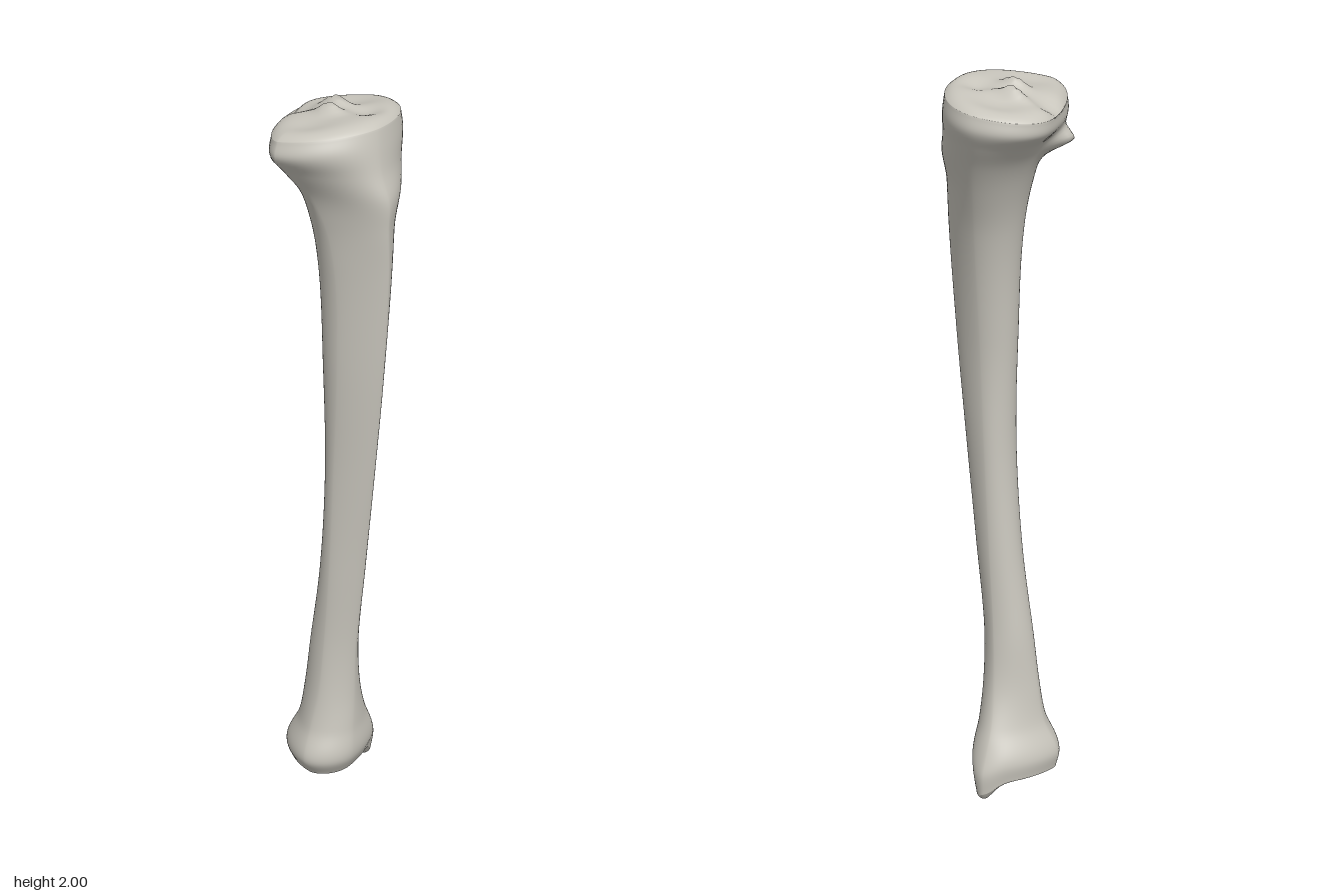
import * as THREE from 'three';
import { mergeVertices } from 'three/addons/utils/BufferGeometryUtils.js';

const SIDES = 72;

// Cross-sections: y, then x,z of the inner (+x), front, outer (-x) and back extremes
const SECTIONS = [
  [0.06, 0.160, -0.03, -0.02, 0.040, -0.105, -0.03, -0.02, -0.160],
  [0.11, 0.162, -0.03, -0.03, 0.063, -0.133, -0.03, -0.02, -0.168],
  [0.20, 0.115, -0.03, -0.02, 0.058, -0.105, -0.03, -0.01, -0.130],
  [0.30, 0.080, -0.02, -0.01, 0.053, -0.085, -0.02, -0.01, -0.110],
  [0.45, 0.060, -0.01, -0.01, 0.056, -0.073, -0.01, -0.01, -0.088],
  [0.70, 0.048, 0.01, -0.01, 0.083, -0.073, 0.01, -0.01, -0.050],
  [1.00, 0.040, 0.03, -0.02, 0.120, -0.080, 0.03, -0.02, -0.025],
  [1.30, 0.043, 0.04, -0.03, 0.154, -0.092, 0.05, -0.02, -0.030],
  [1.60, 0.085, 0.03, -0.04, 0.178, -0.102, 0.05, 0.00, -0.053],
  [1.72, 0.125, 0.01, -0.05, 0.183, -0.116, 0.03, 0.02, -0.080],
  [1.80, 0.160, -0.01, -0.05, 0.185, -0.140, 0.00, 0.04, -0.110],
  [1.86, 0.193, -0.03, -0.05, 0.163, -0.180, -0.03, 0.07, -0.145],
  [1.91, 0.217, -0.04, -0.04, 0.150, -0.217, -0.04, 0.09, -0.184],
  [1.95, 0.212, -0.04, -0.03, 0.140, -0.206, -0.04, 0.09, -0.188],
];

const smooth = (v, a, b) => THREE.MathUtils.smoothstep(v, a, b);
const bump = (x, z, cx, cz, sx, sz) => Math.exp(-(((x - cx) / sx) ** 2) - ((z - cz) / sz) ** 2);

const interpolant = new THREE.CubicInterpolant(
  SECTIONS.map((s) => s[0]), SECTIONS.flatMap((s) => s.slice(1)), 8, new Float32Array(8));

// Four quarter arcs through the extremes; a higher power gives flatter flanks
function outline(y) {
  const [xr, zr, xf, zf, xl, zl, xb, zb] = interpolant.evaluate(y);
  const shaft = smooth(y, 0.15, 0.5) * (1 - smooth(y, 1.7, 1.9));
  const points = [];
  for (let j = 0; j < SIDES; j++) {
    const a = (j / SIDES) * Math.PI * 2;
    const c = Math.cos(a), s = Math.sin(a);
    const outer = c < 0, back = s < 0;
    let p = 1.08 + 0.27 * shaft;
    if (back) p = outer ? 1.3 - 0.25 * shaft : 1 + 0.35 * (1 - smooth(y, 0.2, 0.5));
    const cx = back ? xb : xf, cz = outer ? zl : zr;
    points.push(new THREE.Vector3(
      cx + ((outer ? xl : xr) - cx) * Math.sign(c) * Math.sign(c) * Math.abs(c) ** p, y,
      cz + ((back ? zb : zf) - cz) * Math.abs(s) ** p));
  }
  return points;
}

// Facet under the outer rear rim, ankle spur and sloping upper rim
function shapeSide(p) {
  const { x, y, z } = p;
  const facet = 0.06 * Math.exp(-(((y - 1.845) / 0.035) ** 2)) * bump(x, z, -0.055, -0.12, 0.05, 0.06);
  p.z -= facet;
  p.x -= facet * 0.3;
  p.y -= 0.055 * bump(x, z, 0.14, -0.02, 0.035, 0.04) * (1 - smooth(y, 0.06, 0.2));
  p.y += (0.005 + 0.13 * z) * smooth(y, 1.8, 1.95);
  return p;
}

// Joint surface at the knee: two hollows, twin ridges and a rear notch
function kneeHeight(x, z, t) {
  return 1.955 + 0.13 * z + 0.024 * (1 - t ** 8)
    - 0.016 * bump(x, z, 0.13, -0.06, 0.06, 0.08) * (1 - t ** 4)
    - 0.012 * bump(x, z, -0.12, -0.02, 0.06, 0.07) * (1 - t ** 4)
    + 0.028 * bump(x, z, 0.055, -0.06, 0.018, 0.04)
    + 0.026 * bump(x, z, -0.012, -0.03, 0.022, 0.035)
    - 0.022 * bump(x, z, 0.02, -0.15, 0.04, 0.04)
    - 0.014 * bump(x, z, 0.04, 0.05, 0.04, 0.04);
}

// Joint surface at the ankle: shallow hollow beside the spur
function ankleHeight(x, z, t) {
  return 0.06 - 0.012 * (1 - t ** 6) + 0.018 * bump(x, z, 0, -0.05, 0.07, 0.06) * (1 - t * t)
    - 0.055 * bump(x, z, 0.14, -0.02, 0.035, 0.04);
}

function boneGeometry() {
  const rings = [];
  const capRing = (y, t, cx, cz, height) => outline(y).map((p) => {
    const x = cx + (p.x - cx) * t, z = cz + (p.z - cz) * t;
    return new THREE.Vector3(x, height(x, z, t), z);
  });
  const steps = 18;
  const ease = (i) => Math.sin((i / steps) * Math.PI / 2);
  for (let i = 0; i < steps; i++) rings.push(capRing(0.06, ease(i), 0.02, -0.05, ankleHeight));
  const rows = 110;
  for (let i = 0; i <= rows; i++) {
    // rows gather towards both ends
    const u = i / rows;
    const v = u - 0.11 * Math.sin(u * Math.PI * 2);
    rings.push(outline(0.06 + 1.89 * v).map(shapeSide));
  }
  for (let i = steps - 1; i >= 0; i--) rings.push(capRing(1.95, ease(i), 0.01, -0.03, kneeHeight));

  const positions = rings.flat().flatMap((p) => [p.x, p.y, p.z]);
  const index = [];
  for (let i = 0; i < rings.length - 1; i++) {
    for (let j = 0; j < SIDES; j++) {
      const k = (j + 1) % SIDES;
      const a = i * SIDES + j, b = i * SIDES + k, c = a + SIDES, d = b + SIDES;
      if (i > 0) index.push(a, c, b);
      else index.push(a, c, d);
      if (i > 0 && i < rings.length - 2) index.push(b, c, d);
    }
  }
  const geometry = new THREE.BufferGeometry();
  geometry.setAttribute('position', new THREE.Float32BufferAttribute(positions, 3));
  geometry.setIndex(index);
  const merged = mergeVertices(geometry, 1e-5);
  merged.computeVertexNormals();
  return merged;
}

export function createModel() {
  const group = new THREE.Group();
  group.name = 'shinBoneModel';
  const bone = new THREE.MeshStandardMaterial({ color: 0xc8c5bc });
  bone.name = 'bone';
  const mesh = new THREE.Mesh(boneGeometry(), bone);
  mesh.name = 'shinBone';
  group.add(mesh);
  return group;
}
